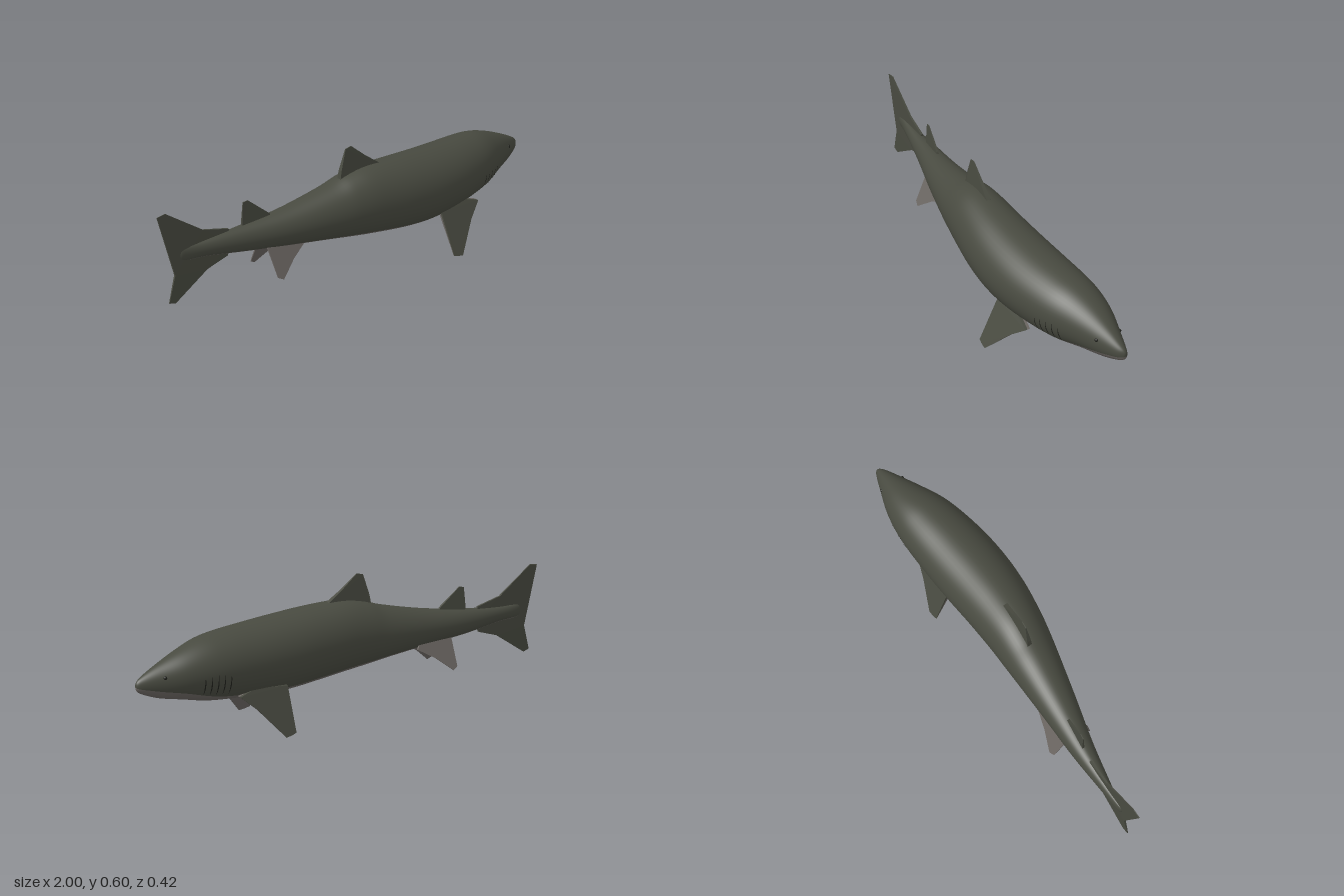
import * as THREE from 'three';

const mat = (name, color, side = THREE.FrontSide) => {
  const m = new THREE.MeshStandardMaterial({ color, side });
  m.name = name;
  return m;
};

// Body stations from tail to nose: x, top y, bottom y, left z, right z
const STATIONS = [
  [-0.91, 0.337, 0.337, -0.104, -0.104],
  [-0.9, 0.362, 0.313, -0.095, -0.112],
  [-0.86, 0.368, 0.305, -0.088, -0.118],
  [-0.78, 0.37, 0.298, -0.07, -0.122],
  [-0.6, 0.382, 0.265, -0.027, -0.13],
  [-0.4, 0.405, 0.237, 0.03, -0.131],
  [-0.2, 0.445, 0.207, 0.083, -0.135],
  [-0.1, 0.475, 0.19, 0.107, -0.138],
  [0, 0.49, 0.175, 0.128, -0.14],
  [0.15, 0.484, 0.155, 0.152, -0.147],
  [0.3, 0.472, 0.142, 0.16, -0.158],
  [0.45, 0.46, 0.147, 0.15, -0.167],
  [0.6, 0.449, 0.16, 0.122, -0.171],
  [0.7, 0.435, 0.174, 0.092, -0.166],
  [0.8, 0.403, 0.199, 0.047, -0.148],
  [0.9, 0.36, 0.222, 0.0, -0.115],
  [0.97, 0.324, 0.25, -0.035, -0.09],
  [0.995, 0.305, 0.268, -0.055, -0.077],
  [1, 0.286, 0.286, -0.066, -0.066],
];

// Smooth interpolation between stations
function station(u) {
  const n = STATIONS.length - 1;
  const i = Math.min(Math.floor(u), n - 1), t = u - i;
  const row = (k) => STATIONS[Math.max(0, Math.min(n, k))];
  return STATIONS[0].map((_, c) => {
    const [a, b, d, e] = [row(i - 1)[c], row(i)[c], row(i + 1)[c], row(i + 2)[c]];
    return b + 0.5 * t * (d - a + t * (2 * a - 5 * b + 4 * d - e + t * (3 * (b - d) + e - a)));
  });
}

// Station parameter for a given x
function paramAt(x) {
  let lo = 0, hi = STATIONS.length - 1;
  for (let k = 0; k < 30; k++) {
    const mid = (lo + hi) / 2;
    if (station(mid)[0] < x) lo = mid; else hi = mid;
  }
  return lo;
}

// Skin point; angle runs from the keel (0) up the left flank to the back (PI)
function skin(u, angle, lift = 0) {
  const [x, top, bottom, left, right] = station(u);
  const hy = Math.max(0, (top - bottom) / 2), hz = Math.max(0, (left - right) / 2);
  return [x, (top + bottom) / 2 - Math.cos(angle) * (hy + lift),
    (left + right) / 2 + Math.sin(angle) * (hz + lift)];
}

// Half angle of the pale belly, wide under the snout
function bellyAngle(x) {
  const deg = x > 0.6 ? 40 + 35 * Math.pow((x - 0.6) / 0.4, 1.3) : 32 + (x + 0.9) * 5.3;
  return THREE.MathUtils.degToRad(deg);
}

function makeBody(materials) {
  const rings = 108, bellySides = 16, backSides = 40, sides = bellySides + backSides;
  const pos = [], belly = [], back = [];
  for (let i = 0; i <= rings; i++) {
    const u = (i / rings) * (STATIONS.length - 1), b = bellyAngle(station(u)[0]);
    for (let j = 0; j < sides; j++) {
      const a = j <= bellySides ? -b + (2 * b * j) / bellySides
        : b + ((2 * Math.PI - 2 * b) * (j - bellySides)) / backSides;
      pos.push(...skin(u, a));
    }
  }
  for (let i = 0; i < rings; i++) {
    for (let j = 0; j < sides; j++) {
      const k = (j + 1) % sides, p = i * sides, q = p + sides;
      (j < bellySides ? belly : back).push(p + j, q + j, q + k, p + j, q + k, p + k);
    }
  }
  const g = new THREE.BufferGeometry();
  g.setAttribute('position', new THREE.Float32BufferAttribute(pos, 3));
  g.setIndex([...back, ...belly]);
  g.addGroup(0, back.length, 0);
  g.addGroup(back.length, belly.length, 1);
  g.computeVertexNormals();
  return new THREE.Mesh(g, materials);
}

// Tapered fin slab: outline in x,y; place(x, y) gives its z; w0..w1 is the share of thickness used
function makeFin(outline, material, place, thick, w0 = -0.5, w1 = 0.5) {
  const shape = new THREE.Shape(outline.map(([x, y]) => new THREE.Vector2(x, y)));
  const g = new THREE.ExtrudeGeometry(shape, { depth: 1, bevelEnabled: false });
  const p = g.attributes.position;
  for (let i = 0; i < p.count; i++) {
    const x = p.getX(i), y = p.getY(i);
    p.setZ(i, place(x, y) + (w0 + (w1 - w0) * p.getZ(i)) * thick(x, y));
  }
  g.computeVertexNormals();
  return new THREE.Mesh(g, material);
}

export function createModel() {
  const group = new THREE.Group();
  const hide = mat('dark olive skin', 0x484a40);
  const pale = mat('pale grey belly', 0x6a6561);
  const dark = mat('gill and eye black', 0x20211c, THREE.DoubleSide);
  const add = (name, mesh) => { mesh.name = name; group.add(mesh); };
  const taper = (y0, t0, y1, t1) => (x, y) =>
    THREE.MathUtils.mapLinear(THREE.MathUtils.clamp(y, Math.min(y0, y1), Math.max(y0, y1)), y0, y1, t0, t1);

  add('body', makeBody([hide, pale]));

  // Fins on the centre line
  add('dorsalFin', makeFin(
    [[-0.14, 0.43], [0.08, 0.46], [0.07, 0.488], [0.0, 0.54], [-0.07, 0.6], [-0.1, 0.594], [-0.128, 0.5]],
    hide, (x) => -0.013 + 0.08 * x, taper(0.47, 0.024, 0.6, 0.003)));
  add('rearDorsalFin', makeFin(
    [[-0.61, 0.36], [-0.46, 0.37], [-0.48, 0.403], [-0.575, 0.487], [-0.598, 0.483]],
    hide, (x) => -0.077 + 0.13 * (x + 0.55), taper(0.39, 0.012, 0.49, 0.003)));
  add('tailFin', makeFin(
    [[-1, 0.54], [-0.935, 0.26], [-0.97, 0.142], [-0.94, 0.132], [-0.78, 0.235], [-0.68, 0.265],
      [-0.66, 0.32], [-0.67, 0.385], [-0.79, 0.418], [-0.96, 0.545]],
    hide, (x) => -0.102 + 0.05 * Math.max(0, x + 0.85), (x, y) => 0.012 - 0.04 * Math.abs(y - 0.335)));

  // Paired fins, with a pale inner face on the pectorals
  const pectoral = [[0.345, 0.2], [0.345, 0.012], [0.365, 0.005], [0.395, 0], [0.5, 0.125], [0.57, 0.187], [0.5, 0.21]];
  const pelvic = [[-0.52, 0.27], [-0.515, 0.147], [-0.49, 0.133], [-0.41, 0.195], [-0.33, 0.24], [-0.36, 0.28]];
  for (const s of [1, -1]) {
    const side = s > 0 ? 'left' : 'right';
    const pecZ = (x, y) => s * 0.207 - s * (s > 0 ? 0.52 : 0.42) * y;
    const pecT = taper(0.19, 0.024, 0, 0.003);
    const halves = [[-0.5, 0], [0, 0.5]];
    const [outer, inner] = s > 0 ? [halves[1], halves[0]] : halves;
    add(side + 'PectoralFinOuter', makeFin(pectoral, hide, pecZ, pecT, ...outer));
    add(side + 'PectoralFinInner', makeFin(pectoral, pale, pecZ, pecT, ...inner));
    add(side + 'PelvicFin', makeFin(pelvic, pale,
      (x, y) => -0.065 + s * (0.1 - 0.5 * (y - 0.135)), taper(0.27, 0.01, 0.135, 0.003)));

    // Gill slits laid on the skin
    for (let k = 0; k < 5; k++) {
      const x = 0.625 + 0.028 * k, steps = 10, pos = [], idx = [];
      for (let j = 0; j <= steps; j++) {
        const a = s * THREE.MathUtils.degToRad(50 + (42 * j) / steps);
        const half = 0.0025 * Math.sin((Math.PI * j) / steps);
        for (const d of [-half, half]) pos.push(...skin(paramAt(x + d), a, 0.0015));
        if (j) {
          const p = 2 * j - 2;
          idx.push(...(s > 0 ? [p, p + 1, p + 3, p, p + 3, p + 2] : [p, p + 3, p + 1, p, p + 2, p + 3]));
        }
      }
      const g = new THREE.BufferGeometry();
      g.setAttribute('position', new THREE.Float32BufferAttribute(pos, 3));
      g.setIndex(idx);
      g.computeVertexNormals();
      add(side + 'GillSlit' + (k + 1), new THREE.Mesh(g, dark));
    }

    // Eye
    const eye = new THREE.Mesh(new THREE.SphereGeometry(0.008, 12, 8), dark);
    eye.position.set(...skin(paramAt(0.89), s * 1.95, -0.003));
    add(side + 'Eye', eye);
  }
  return group;
}
